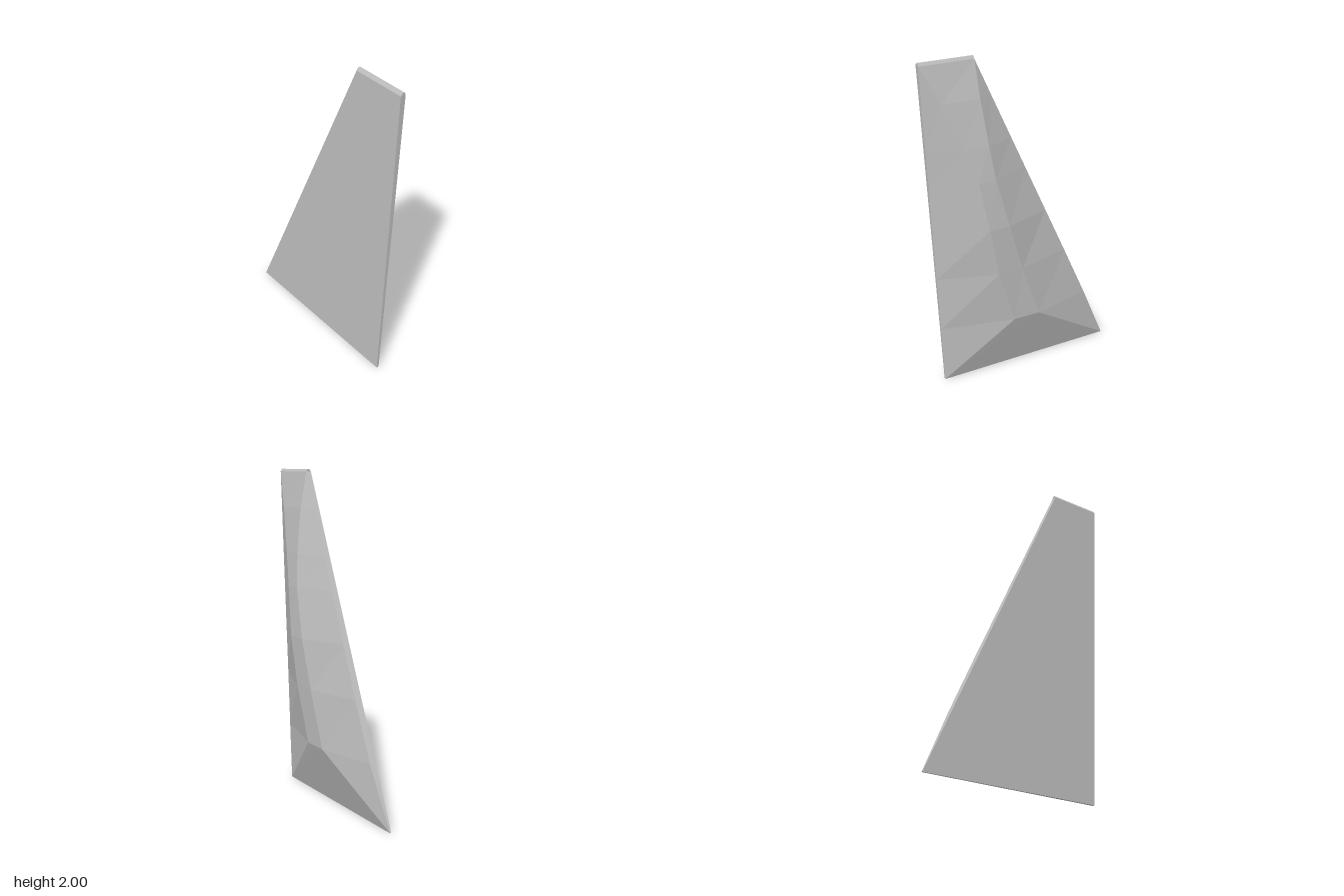
import * as THREE from 'three';

const BACK = -0.077; // x of the flat side

// Outline of the fin: straight front and back edges
const frontZ = (y) => THREE.MathUtils.lerp(0.525, 0.62, y / 2);
const rearZ = (y) => THREE.MathUtils.lerp(-0.62, 0.295, y / 2);

// Levels: y, front edge x, front ridge z/x, rear ridge z/x, rear edge x.
// The ridge meets the corners at both ends.
const levels = [
  [0, -0.062, 0.525, -0.062, -0.62, -0.068, -0.068],
  [0.36, -0.059, 0.10, 0.052, -0.07, 0.052, -0.038],
  [0.7, -0.057, 0.21, 0.066, 0.05, 0.062, -0.034],
  [1.0, -0.054, 0.27, 0.075, 0.14, 0.072, -0.037],
  [1.3, -0.051, 0.33, 0.058, 0.22, 0.060, -0.040],
  [1.5, -0.049, 0.40, 0.032, 0.25, 0.040, -0.042],
  [1.77, -0.047, 0.51, -0.008, 0.28, 0.0, -0.044],
  [1.985, -0.045, frontZ(1.985), -0.045, rearZ(1.985), -0.045, -0.045],
];

function section([y, fx, z1, x1, z2, x2, rx]) {
  const f = frontZ(y), r = rearZ(y);
  return [[BACK, f], [fx, f], [x1, z1], [x2, z2], [rx, r], [BACK, r]]
    .map(([x, z]) => new THREE.Vector3(x, y, z));
}

// Skin the cross-sections with flat facets and close both ends
function loft(rings) {
  const pos = [], tri = new THREE.Triangle();
  const add = (a, b, c) => {
    if (tri.set(a, b, c).getArea() < 1e-7) return;
    for (const p of [a, b, c]) pos.push(p.x, p.y, p.z);
  };
  const n = rings[0].length;
  for (let i = 0; i < rings.length - 1; i++) {
    const lo = rings[i], up = rings[i + 1];
    for (let j = 0; j < n; j++) {
      const k = (j + 1) % n;
      add(lo[j], lo[k], up[k]);
      add(lo[j], up[k], up[j]);
    }
  }
  const bottom = rings[0], top = rings[rings.length - 1];
  for (let j = 1; j < n - 1; j++) {
    add(top[0], top[j], top[j + 1]);
    add(bottom[0], bottom[j + 1], bottom[j]);
  }
  const g = new THREE.BufferGeometry();
  g.setAttribute('position', new THREE.Float32BufferAttribute(pos, 3));
  g.computeVertexNormals();
  return g;
}

export function createModel() {
  const group = new THREE.Group();
  group.name = 'finPanel';
  const grey = new THREE.MeshStandardMaterial({ color: 0xc0c0c0 });
  grey.name = 'light grey';

  const rings = levels.map(section);
  // Rounded top edge: the last section drawn in towards its middle
  const mid = (BACK - 0.045) / 2;
  rings.push(rings[rings.length - 1].map(
    (p) => new THREE.Vector3(mid + (p.x - mid) * 0.45, 2, p.z)));

  const fin = new THREE.Mesh(loft(rings), grey);
  fin.name = 'bulgedFin';
  group.add(fin);
  return group;
}
